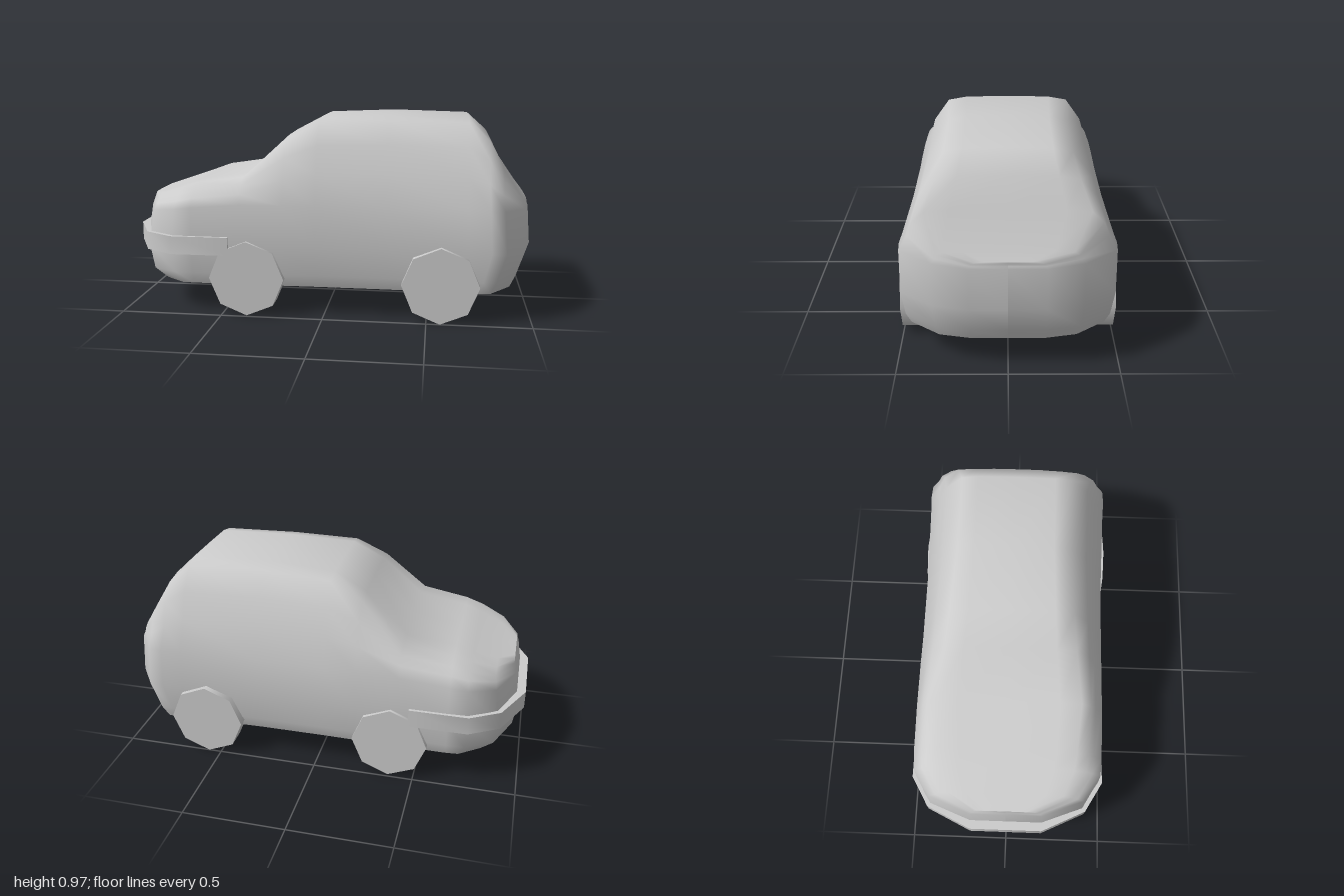
import * as THREE from 'three';
import { toCreasedNormals } from 'three/addons/utils/BufferGeometryUtils.js';

const grey = new THREE.MeshStandardMaterial({ color: 0xcccccc });
const shellGrey = new THREE.MeshStandardMaterial({ color: 0xcccccc, side: THREE.DoubleSide });

// Cross-sections from nose to tail: x, belt height, top height, half width, roof half width
const STATIONS = [
  [-0.97, 0.49, 0.55, 0, 0],
  [-0.97, 0.49, 0.55, 0.18, 0.14],
  [-0.89, 0.5, 0.57, 0.385, 0.28],
  [-0.75, 0.52, 0.61, 0.465, 0.33],
  [-0.65, 0.53, 0.64, 0.47, 0.34],
  [-0.41, 0.55, 0.675, 0.47, 0.36],
  [-0.2, 0.55, 0.87, 0.468, 0.32],
  [-0.04, 0.55, 0.955, 0.465, 0.3],
  [0.3, 0.55, 0.97, 0.465, 0.28],
  [0.69, 0.55, 0.96, 0.475, 0.28],
  [0.8, 0.55, 0.87, 0.48, 0.31],
  [0.87, 0.55, 0.74, 0.475, 0.36],
  [0.97, 0.54, 0.595, 0.33, 0.28],
  [1.0, 0.53, 0.56, 0.17, 0.14],
  [1.0, 0.53, 0.56, 0, 0],
];
const SILL = 0.145;
// Rows from sill to belt: [height fraction, width fraction]
const LOWER = [[0, 0.93], [0.15, 0.975], [0.5, 1], [1, 1]];
// Rows from belt to roof corner: [height fraction, fraction towards the roof width]
const UPPER = [[0.36, 0.32], [0.69, 0.55], [0.95, 1]];
// How far each row is pulled in at the nose and at the tail
const NOSE_INSET = [0.08, 0.02, 0, 0.03, 0.035, 0.04, 0.04, 0.04, 0.04];
const TAIL_INSET = [0.07, 0.045, 0, 0.015, 0.02, 0.02, 0.02, 0.02, 0.02];

function halfSection([x, belt, top, w, wTop]) {
  const rows = [
    ...LOWER.map(([h, k]) => [SILL + h * (belt - SILL), w * k]),
    ...UPPER.map(([h, k]) => [belt + h * (top - belt), w + k * (wTop - w)]),
    [belt + 0.99 * (top - belt), wTop * 0.7],
    [top, 0],
  ];
  const fade = THREE.MathUtils.clamp((Math.abs(x) - 0.65) / 0.2, 0, 1);
  const inset = x < 0 ? NOSE_INSET : TAIL_INSET;
  return rows.map(([y, z], j) => [x - Math.sign(x) * fade * inset[j], y, z]);
}

// Smooth shell, open underneath
function bodyGeometry() {
  const positions = [], index = [];
  let n = 0;
  for (const station of STATIONS) {
    const half = halfSection(station);
    const other = half.slice(0, -1).reverse().map(([x, y, z]) => [x, y, -z]);
    const section = [...half, ...other];
    n = section.length;
    positions.push(...section.flat());
  }
  for (let i = 0; i < STATIONS.length - 1; i++) {
    for (let j = 0; j < n - 1; j++) {
      const a = i * n + j, b = a + n;
      index.push(a, b, a + 1, b, b + 1, a + 1);
    }
  }
  const g = new THREE.BufferGeometry();
  g.setAttribute('position', new THREE.Float32BufferAttribute(positions, 3));
  g.setIndex(index);
  g.computeVertexNormals();
  return g;
}

// U-shaped band wrapped round the nose
function bumperGeometry() {
  const outer = [[-0.465, 0.485], [-0.75, 0.485], [-0.895, 0.4], [-1, 0.18]];
  const inner = [[-0.955, 0.17], [-0.87, 0.375], [-0.74, 0.458], [-0.465, 0.463]];
  const flip = (list) => list.map(([x, z]) => [x, -z]).reverse();
  const outline = [...outer, ...flip(outer), ...flip(inner), ...inner];
  const shape = new THREE.Shape(outline.map(([x, z]) => new THREE.Vector2(x, z)));
  const g = new THREE.ExtrudeGeometry(shape, { depth: 0.09, bevelEnabled: false });
  g.rotateX(Math.PI / 2).translate(0, 0.39, 0);
  return toCreasedNormals(g, 1.1);
}

export function createModel() {
  const model = new THREE.Group();
  const add = (name, geometry, material = grey) => {
    const mesh = new THREE.Mesh(geometry, material);
    mesh.name = name;
    model.add(mesh);
    return mesh;
  };

  add('body', bodyGeometry(), shellGrey);
  add('frontBumper', bumperGeometry());

  // Eight-sided wheels
  const wheel = new THREE.CylinderGeometry(0.185, 0.185, 0.11, 8).rotateX(Math.PI / 2);
  for (const [axle, x, z] of [['front', -0.375, 0.43], ['rear', 0.565, 0.445]]) {
    for (const side of [1, -1]) {
      const name = axle + (side > 0 ? 'Near' : 'Far') + 'Wheel';
      add(name, wheel).position.set(x, 0.187, side * z);
    }
  }
  return model;
}
